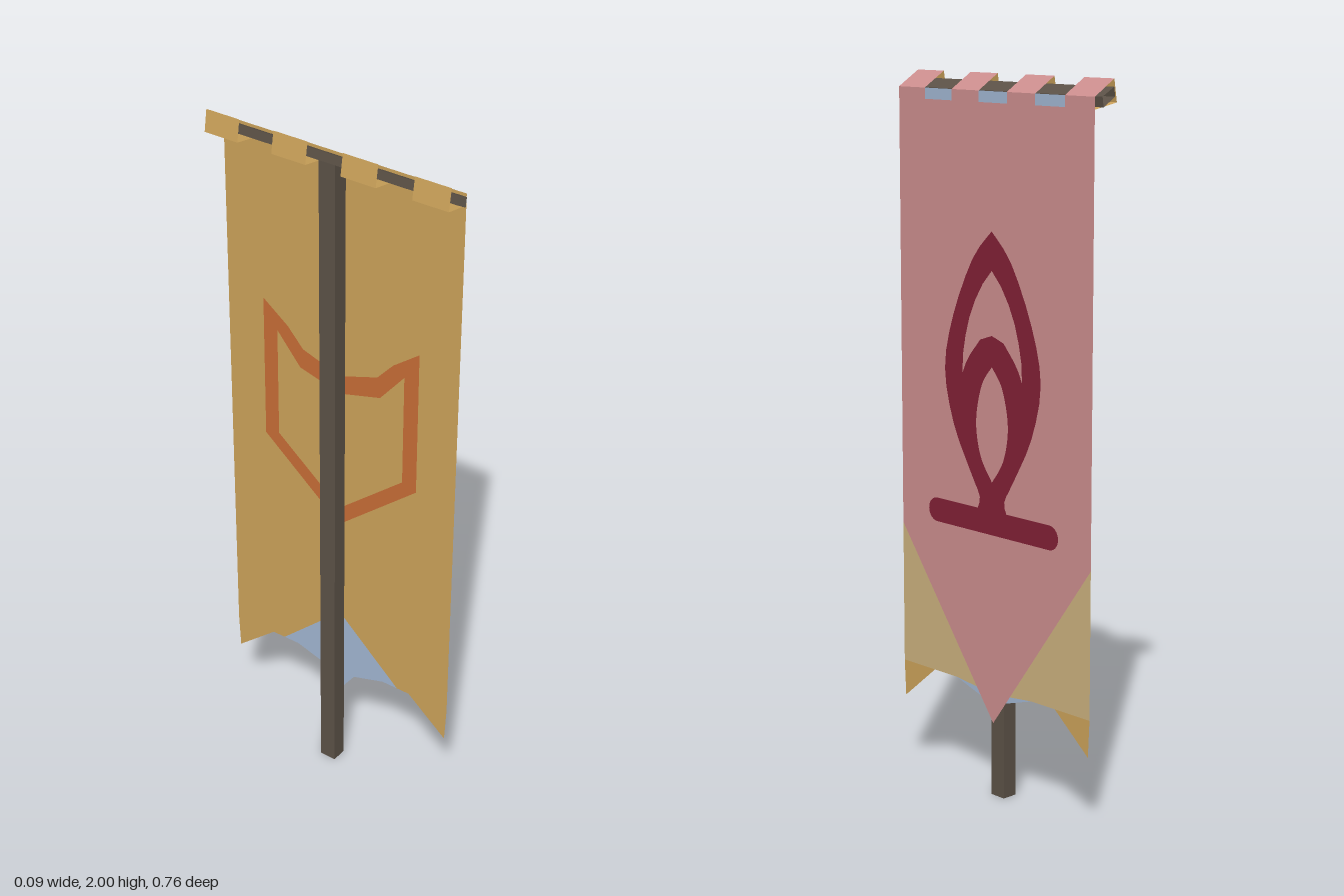
import * as THREE from 'three';

const mat = (name, color, side = THREE.FrontSide) => {
  const m = new THREE.MeshStandardMaterial({ color, side });
  m.name = name;
  return m;
};

export function createModel() {
  const group = new THREE.Group();
  const wood = mat('dark wood', 0x5b5146, THREE.DoubleSide);
  const pink = mat('pink cloth', 0xcb8d8d);
  const crimson = mat('crimson', 0x802035);
  const tan = mat('tan cloth', 0xcab07d);
  const gold = mat('gold cloth', 0xcaa159);
  const goldBoth = mat('gold lining', 0xcaa159, THREE.DoubleSide);
  const blue = mat('pale blue', 0xa0b4d0);
  const orange = mat('burnt orange', 0xc56c36);

  const add = (name, geometry, material) => {
    const m = new THREE.Mesh(geometry, material);
    m.name = name;
    group.add(m);
    return m;
  };
  const V = (p) => p.map(([a, b]) => new THREE.Vector2(a, b));
  // right half of an outline, top to bottom, mirrored into a closed one
  const mirror = (half) => [...half, ...half.filter(p => p[0] !== 0).reverse().map(([a, b]) => [-a, b])];
  // flat panel in the z-y plane, facing +x (dir 1) or -x (dir -1)
  const panel = (name, outline, material, x, dir) => {
    const shape = outline instanceof THREE.Shape ? outline : new THREE.Shape(V(outline));
    const g = new THREE.ShapeGeometry(shape);
    g.rotateY(dir * Math.PI / 2);
    g.translate(x, 0, 0);
    return add(name, g, material);
  };
  // strip along z between two cross-section points
  const strip = (name, a, b, z0, z1, material) => {
    const g = new THREE.BufferGeometry();
    g.setAttribute('position', new THREE.Float32BufferAttribute([
      a[0], a[1], z0, a[0], a[1], z1, b[0], b[1], z1, b[0], b[1], z0], 3));
    g.setIndex([0, 1, 2, 0, 2, 3]);
    g.computeVertexNormals();
    return add(name, g, material);
  };

  // upright pole
  const pole = add('pole', new THREE.BoxGeometry(0.046, 1.955, 0.05), wood);
  pole.position.y = 0.9775;

  // crossbar: open-ended, slanted section
  const bar = [[0.023, 1.957], [-0.019, 1.98], [-0.023, 1.955], [0.019, 1.93]];
  bar.forEach((p, i) => strip('crossbar', p, bar[(i + 1) % 4], 0.38, -0.38, wood));

  // cloth front
  const X = 0.04, W = 0.37, top = 1.957, notch = 1.927;
  panel('clothFront', [[-W, notch], [-W, 0.73], [0, 0.22], [W, 0.73], [W, notch]], pink, X, 1);
  for (const s of [-1, 1]) {
    const side = (pts) => pts.map(([a, b]) => [a * s, b]);
    panel('cornerPanel', side([[W, 0.73], [0.066, 0.311], [0.15, 0.32], [W, 0.32]]), tan, X, 1);
    panel('cornerPoint', side([[W, 0.32], [0.24, 0.32], [0.365, 0.215]]), gold, X, 1);
    panel('hemSliver', side([[0.15, 0.32], [0.066, 0.311], [0.05, 0.289]]), blue, X, 1);
  }

  // cloth back, with a blue peak at the hem
  panel('clothBack', mirror([[W, top], [W, 0.32], [0.365, 0.215], [0.24, 0.32], [0.2, 0.32], [0, 0.505]]), gold, X - 0.002, -1);
  panel('hemPeak', mirror([[0, 0.505], [0.2, 0.32], [0.15, 0.32], [0.05, 0.289], [0, 0.22]]), blue, X - 0.002, -1);

  // hanging loops over the crossbar and notches between them
  const crest = [-0.03, 2], back = [-0.04, 1.94], pitch = 0.2117;
  const rect = (a, b) => [[-b, notch], [-a, notch], [-a, top], [-b, top]];
  for (let i = 0; i < 4; i++) {
    const z0 = -W + i * pitch, z1 = z0 + 0.105;
    panel('loopBase', rect(z0, z1), pink, X, 1);
    if (i < 3) panel('notch', rect(z1, z0 + pitch), blue, X, 1);
    strip('loopTop', [X, top], crest, z1, z0, pink);
    strip('loopLining', [X, top - 0.002], [crest[0], crest[1] - 0.002], z0, z1, gold);
    strip('loopBack', crest, back, z1, z0, goldBoth);
    strip('loopUnderside', back, [X - 0.002, 1.925], z1, z0, goldBoth);
  }

  // smooth outline from its right half
  const smooth = (half) => {
    const right = new THREE.SplineCurve(V(half)).getPoints(24);
    const left = right.slice(1, -1).reverse().map(p => new THREE.Vector2(-p.x, p.y));
    return [...right, ...left];
  };

  // flame emblem on the front
  const flame = new THREE.Shape(smooth([[0, 1.59], [0.075, 1.51], [0.152, 1.35], [0.186, 1.2],
    [0.152, 1.05], [0.085, 0.925], [0.048, 0.86], [0.055, 0.82], [0, 0.815]]));
  const crescent = mirror([[0, 1.485], [0.035, 1.447], [0.065, 1.4], [0.088, 1.35], [0.103, 1.3],
    [0.113, 1.25], [0.116, 1.195], [0.102, 1.225], [0.085, 1.25], [0.045, 1.295], [0, 1.31]]);
  flame.holes.push(
    new THREE.Path(V(crescent)),
    new THREE.Path(smooth([[0, 1.225], [0.04, 1.17], [0.062, 1.07], [0.045, 0.975], [0, 0.907]])));
  panel('flameEmblem', flame, crimson, X + 0.004, 1);

  // rounded base line under the flame
  const base = new THREE.Shape();
  base.absarc(0.22, 0.794, 0.034, -Math.PI / 2, Math.PI / 2);
  base.absarc(-0.22, 0.794, 0.034, Math.PI / 2, Math.PI * 1.5);
  panel('flameBase', base, crimson, X + 0.005, 1);

  // shield outline on the back
  const shield = new THREE.Shape(V(mirror([[0, 1.305], [0.12, 1.345], [0.17, 1.4], [0.25, 1.46], [0.25, 1.03], [0, 0.82]])));
  shield.holes.push(new THREE.Path(V(mirror([[0, 1.25], [0.13, 1.285], [0.205, 1.375], [0.205, 1.045], [0, 0.875]]))));
  panel('shieldEmblem', shield, orange, X - 0.006, -1);

  return group;
}
